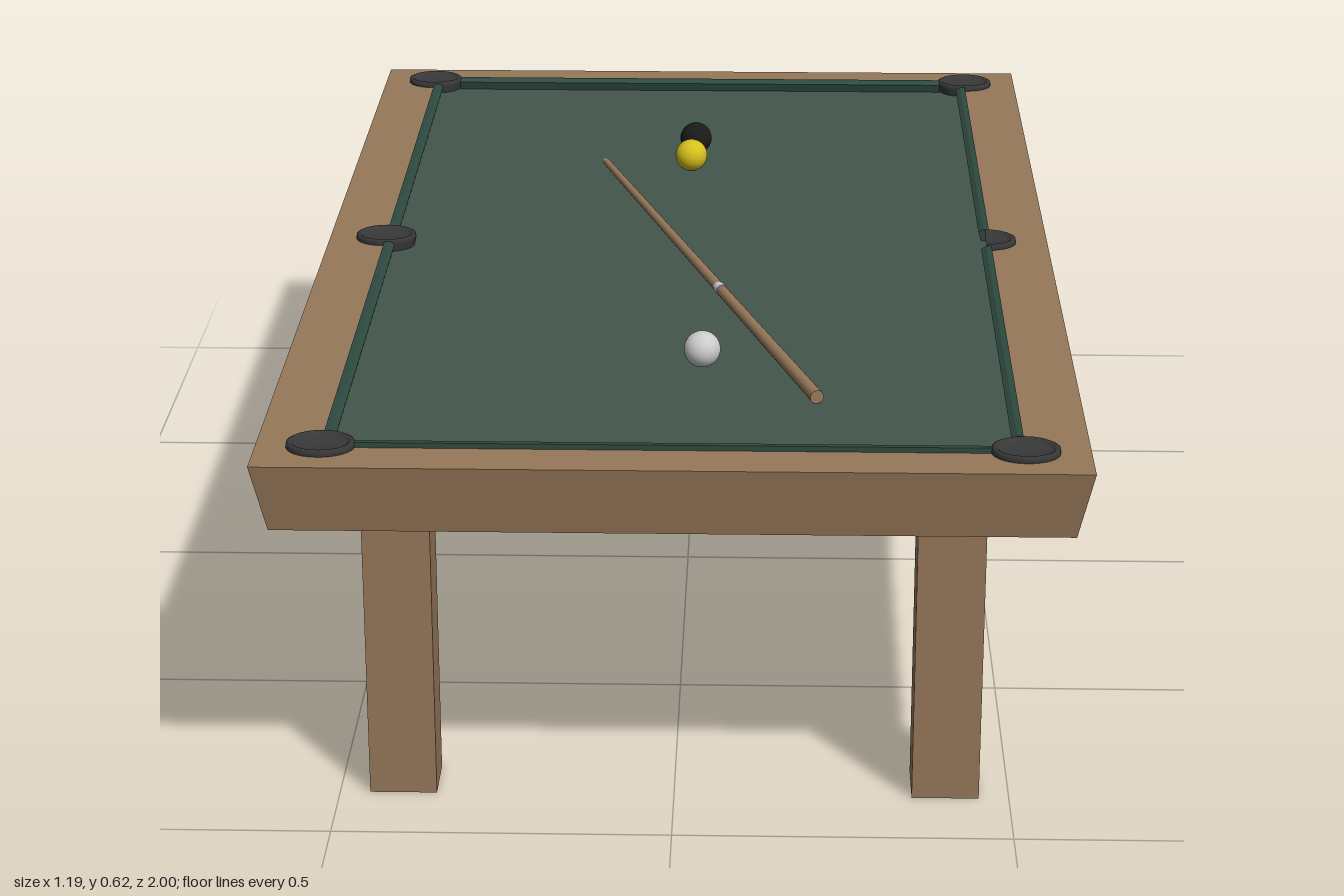
import * as THREE from 'three';

const mat = (color, side = THREE.FrontSide, flatShading = false) => {
  const m = new THREE.MeshStandardMaterial({ color, side });
  m.flatShading = flatShading;
  return m;
};
const wood = mat(0x96785a);
const frameWood = mat(0x96785a, THREE.FrontSide, true);
const felt = mat(0x43564b);
const cushionFelt = mat(0x2f4a40);
const pocketDark = mat(0x383838, THREE.DoubleSide);
const white = mat(0xcccccc);

const FELT_Y = 0.565;
const RAIL_Y = 0.577;

function add(parent, name, geometry, material, x = 0, y = 0, z = 0) {
  const mesh = new THREE.Mesh(geometry, material);
  mesh.name = name;
  mesh.position.set(x, y, z);
  parent.add(mesh);
  return mesh;
}

// Skin over stacked rectangles given as [half width, y, half length]
function rectangleLoft(sections) {
  const pos = [], idx = [];
  for (const [w, y, l] of sections) pos.push(w, y, l, w, y, -l, -w, y, -l, -w, y, l);
  for (let s = 0; s < sections.length - 1; s++) {
    for (let i = 0; i < 4; i++) {
      const a = s * 4 + i, b = s * 4 + (i + 1) % 4;
      idx.push(a, b, b + 4, a, b + 4, a + 4);
    }
  }
  const g = new THREE.BufferGeometry();
  g.setAttribute('position', new THREE.Float32BufferAttribute(pos, 3));
  g.setIndex(idx);
  const flat = g.toNonIndexed();
  flat.computeVertexNormals();
  return flat;
}

// Strip of cushion running along z, nose pointing to -x
function cushionGeometry(length) {
  const s = new THREE.Shape([
    new THREE.Vector2(0.004, FELT_Y - 0.002),
    new THREE.Vector2(0.004, 0.585),
    new THREE.Vector2(-0.005, 0.585),
    new THREE.Vector2(-0.013, 0.58),
    new THREE.Vector2(-0.008, FELT_Y - 0.002),
  ]);
  return new THREE.ExtrudeGeometry(s, { depth: length, bevelEnabled: false });
}

// Shallow cup with a rounded rim
function pocketGeometry(half) {
  const profile = [[0.047, 0.566], [0.05, 0.579], [0.049, 0.585], [0.045, 0.587],
    [0.041, 0.585], [0.037, 0.58], [0, 0.579]].map(([r, y]) => new THREE.Vector2(r, y));
  return new THREE.LatheGeometry(profile, 32, 0, half ? Math.PI : Math.PI * 2);
}

export function createModel() {
  const table = new THREE.Group();
  table.name = 'poolTable';

  // Sloped frame with flat rail and closed underside
  add(table, 'frame', rectangleLoft([
    [0, 0.472, 0], [0.575, 0.472, 0.98], [0.597, RAIL_Y, 1],
    [0.498, RAIL_Y, 0.92], [0.498, 0.555, 0.92],
  ]), frameWood);
  add(table, 'playingSurface', new THREE.BoxGeometry(0.998, 0.02, 1.842), felt, 0, FELT_Y - 0.01, 0);

  // Legs
  for (const sx of [-1, 1]) {
    for (const sz of [-1, 1]) {
      add(table, 'leg', new THREE.BoxGeometry(0.1, 0.474, 0.086), wood, sx * 0.405, 0.237, sz * 0.832);
    }
  }

  // Cushions, broken at the pockets
  for (let i = 0; i < 4; i++) {
    const side = new THREE.Group();
    side.name = 'cushions';
    side.rotation.y = i * Math.PI / 2;
    if (i % 2 === 0) {
      for (const z of [-0.877, 0.042]) add(side, 'sideCushion', cushionGeometry(0.835), cushionFelt, 0.498, 0, z);
    } else {
      add(side, 'endCushion', cushionGeometry(0.91), cushionFelt, 0.92, 0, -0.455);
    }
    table.add(side);
  }

  // Pockets
  for (const sx of [-1, 1]) {
    for (const z of [-0.92, 0, 0.92]) {
      const half = sx > 0 && z === 0;
      const pocket = add(table, 'pocket', pocketGeometry(half), pocketDark, sx * 0.503, 0, z);
      if (half) pocket.position.x = 0.495;
      pocket.scale.z = 0.84;
    }
  }

  // Balls
  const ball = new THREE.SphereGeometry(0.028, 32, 20);
  add(table, 'whiteBall', ball, white, 0.035, FELT_Y + 0.028, 0.555);
  add(table, 'yellowBall', ball, mat(0xd6c01c), -0.004, FELT_Y + 0.028, -0.418);
  add(table, 'blackBall', ball, mat(0x1a1a1a), 0.002, FELT_Y + 0.028, -0.52);

  // Cue lying on the cloth: tapered shaft, pale joint ring and tip
  const tip = new THREE.Vector3(-0.155, 0.572, -0.44);
  const butt = new THREE.Vector3(0.208, 0.576, 0.708);
  const length = tip.distanceTo(butt);
  const cue = new THREE.Group();
  cue.name = 'cue';
  cue.position.copy(tip).add(butt).multiplyScalar(0.5);
  cue.quaternion.setFromUnitVectors(new THREE.Vector3(0, 1, 0), tip.clone().sub(butt).normalize());
  add(cue, 'shaft', new THREE.CylinderGeometry(0.006, 0.0105, length, 20), wood);
  add(cue, 'jointRing', new THREE.CylinderGeometry(0.0092, 0.0093, 0.018, 20), white, 0, -length * 0.085, 0);
  add(cue, 'cueTip', new THREE.CylinderGeometry(0.0055, 0.006, 0.008, 20), white, 0, length / 2 + 0.003, 0);
  table.add(cue);

  return table;
}
